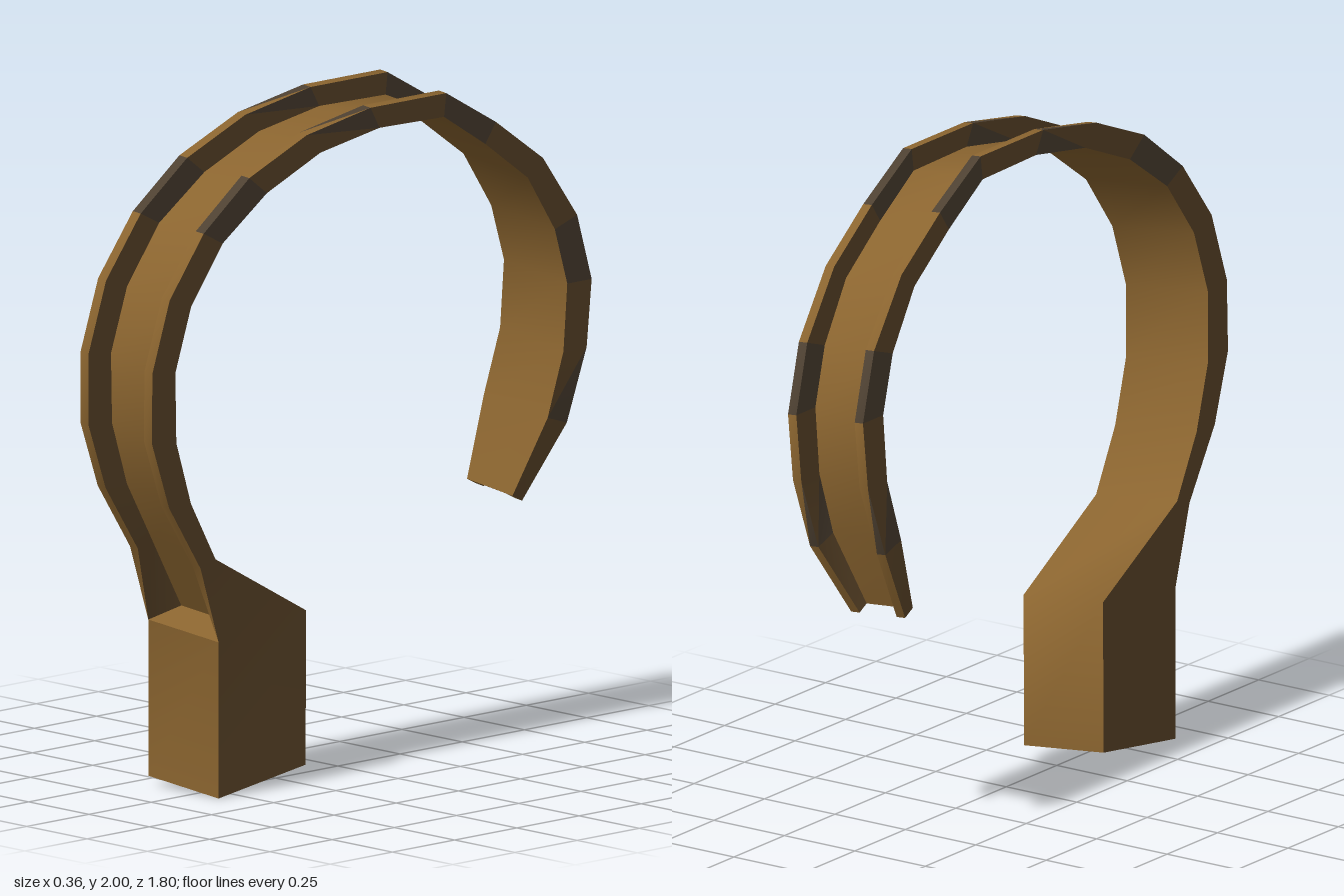
import * as THREE from 'three';
import { toCreasedNormals } from 'three/addons/utils/BufferGeometryUtils.js';

// Left-edge profile, [outer z, outer y, inner z, inner y], from the front foot over to the tip
const ARCH = [
  [0.67, 0.72, 0.61, 0.74], [0.81, 0.92, 0.72, 0.92], [0.89, 1.12, 0.79, 1.11],
  [0.90, 1.33, 0.805, 1.32], [0.84, 1.54, 0.75, 1.51], [0.71, 1.72, 0.63, 1.68],
  [0.53, 1.86, 0.455, 1.805], [0.30, 1.955, 0.24, 1.895], [0.04, 2.0, 0, 1.935],
  [-0.27, 2.0, -0.265, 1.93], [-0.48, 1.885, -0.44, 1.825], [-0.68, 1.75, -0.62, 1.70],
  [-0.83, 1.56, -0.74, 1.53], [-0.90, 1.36, -0.80, 1.36], [-0.89, 1.16, -0.795, 1.16],
  [-0.82, 0.945, -0.74, 0.97], [-0.69, 0.72, -0.65, 0.74],
];
const WIDTH = 0.279, RIM = 0.031, FLOOR = 0.004, FOOT_RINGS = 3;

const BROWN = 0, DARK = 1, GREY = 2;
// Worn arch segments: whole, or only the half next to the segment's end
const WORN = [5, 9, 12], HALF_WORN = [7, 14];

// Point across the width: f = 0 is the -x edge, 1 the +x edge, which sits lower and slightly smaller
function place(z, y, f) {
  const lean = 0.053 * Math.max(0, y - 0.5);
  return new THREE.Vector3(-0.182 + lean + f * WIDTH, y - 0.028 * f, z * (1 - 0.02 * f));
}

// U-shaped section: outer rims, sunken floor between them, inner surface
function section([oz, oy, iz, iy], { floor, rim = RIM, floorRim = RIM, f0 = 0, f1 = 1 } = {}) {
  const t = rim / WIDTH, w = floorRim / WIDTH;
  const k = FLOOR / Math.hypot(oz - iz, oy - iy);
  const [wz, wy] = floor || [iz + (oz - iz) * k, iy + (oy - iy) * k];
  return [
    place(oz, oy, f0), place(oz, oy, f0 + t), place(wz, wy, f0 + w), place(wz, wy, f1 - w),
    place(oz, oy, f1 - t), place(oz, oy, f1), place(iz, iy, f1), place(iz, iy, f0),
  ];
}

// Colour of one side strip: flange walls are dark, floor, rims and inner face brown
function stripColour(strip, segment, half) {
  const wall = [1, 3, 5, 7].includes(strip);
  const rim = strip === 0 || strip === 4;
  const worn = WORN.includes(segment) || (half === 1 && HALF_WORN.includes(segment));
  if (worn && (wall || rim)) return GREY;
  return wall ? DARK : BROWN;
}

function loft(rings) {
  const buckets = [[], [], []];
  const tri = (colour, a, b, c) => {
    const area = b.clone().sub(a).cross(c.clone().sub(a)).length();
    if (area > 1e-7) for (const p of [a, b, c]) buckets[colour].push(p.x, p.y, p.z);
  };
  for (let i = 0; i < rings.length - 1; i++) {
    const a = rings[i], b = rings[i + 1], segment = i - FOOT_RINGS;
    for (let j = 0; j < 8; j++) {
      const k = (j + 1) % 8;
      tri(stripColour(j, segment, 0), a[j], a[k], b[k]);
      tri(stripColour(j, segment, 1), a[j], b[k], b[j]);
    }
  }
  // End caps
  const first = rings[0], last = rings[rings.length - 1];
  for (const [a, b, c, d] of [[0, 1, 2, 7], [2, 3, 6, 7], [3, 4, 5, 6]]) {
    tri(BROWN, first[d], first[c], first[b]);
    tri(BROWN, first[d], first[b], first[a]);
    tri(BROWN, last[a], last[b], last[c]);
    tri(BROWN, last[a], last[c], last[d]);
  }
  let geo = new THREE.BufferGeometry();
  geo.setAttribute('position', new THREE.Float32BufferAttribute(buckets.flat(), 3));
  geo = toCreasedNormals(geo, 1.13);
  let start = 0;
  buckets.forEach((bucket, colour) => {
    geo.addGroup(start, bucket.length / 3, colour);
    start += bucket.length / 3;
  });
  return geo;
}

function material(name, color) {
  const m = new THREE.MeshStandardMaterial({ color });
  m.name = name;
  return m;
}

export function createModel() {
  const group = new THREE.Group();
  group.name = 'hook';
  const materials = [
    material('brown', 0x8a642f),
    material('darkBrown', 0x61492b),
    material('greyBrown', 0x4e4132),
  ];

  // Foot block, then the ledge where the channel begins
  const foot = [0.585, 0.03, 0.228, 0.08], shoulder = [0.585, 0.49, 0.228, 0.535];
  const rings = [
    section(foot, { floor: [0.585, 0.03], rim: 0, floorRim: 0 }),
    section(shoulder, { floor: [0.585, 0.49], rim: 0, floorRim: 0 }),
    section(shoulder, { floor: [0.485, 0.525], rim: 0 }),
    // Channelled arch, narrowing at the tip
    ...ARCH.map((s, i) => section(s, i === ARCH.length - 1 ? { f0: 0.13, f1: 0.84 } : {})),
  ];
  const body = new THREE.Mesh(loft(rings), materials);
  body.name = 'channelledHookAndFoot';
  group.add(body);
  return group;
}
